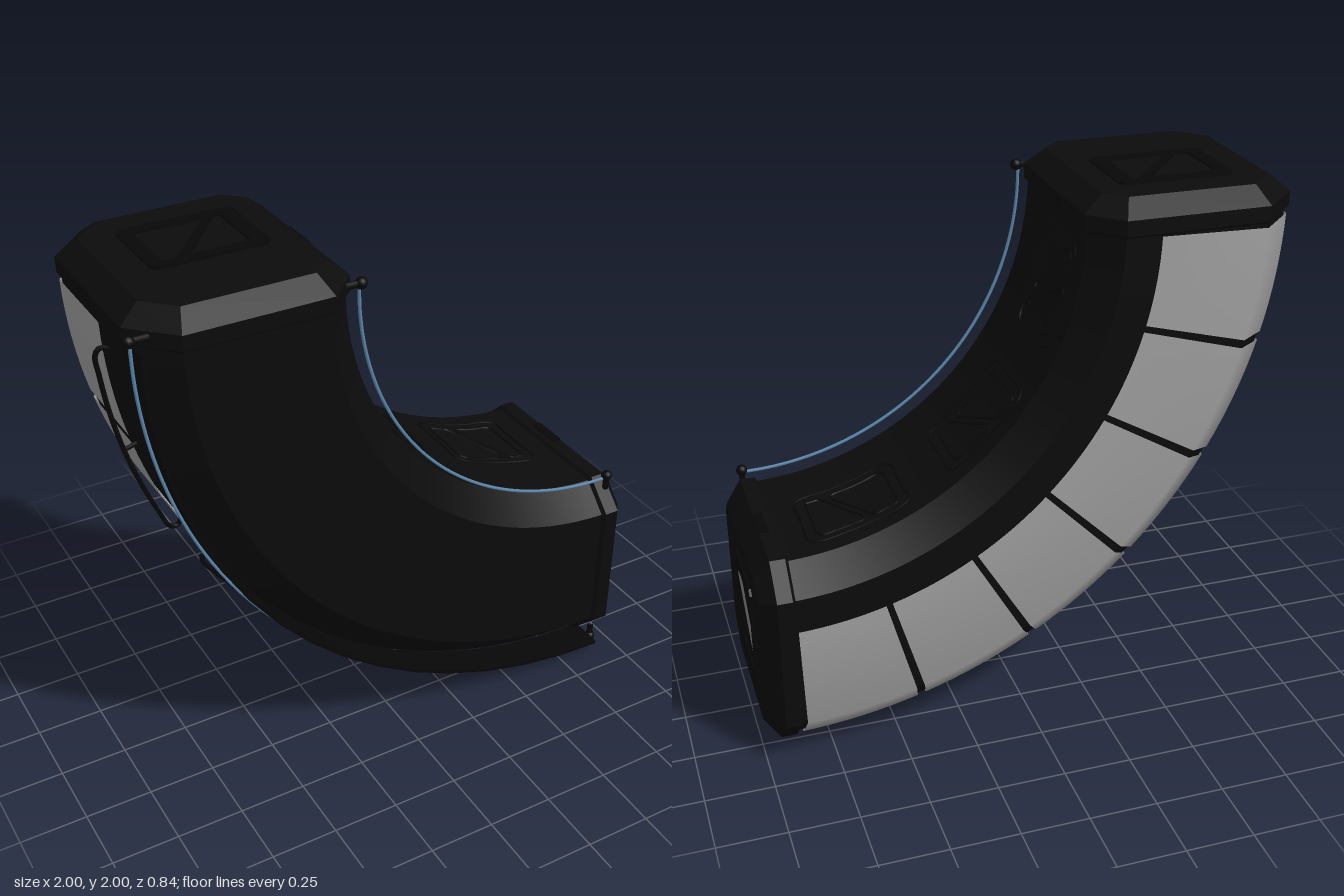
import * as THREE from 'three';
import { toCreasedNormals } from 'three/addons/utils/BufferGeometryUtils.js';

const CX = 0.9, CY = 1.9; // centre of the quarter bend
const rad = THREE.MathUtils.degToRad;

const mat = (name, color, side = THREE.FrontSide) => {
  const m = new THREE.MeshStandardMaterial({ color, side });
  m.name = name;
  return m;
};

// Point on the bend: angle 0 at the upper end, 90 at the lower end
const polar = (deg, r, z) =>
  new THREE.Vector3(CX - r * Math.cos(rad(deg)), CY - r * Math.sin(rad(deg)), z);

// Octagonal cross-section (radius, z), counter-clockwise, inset by d
function section(d) {
  const r0 = 1.09 + d, r1 = 1.86 - d, z = 0.42 - d;
  const ci = 0.11 - 0.586 * d, co = 0.14 - 0.586 * d;
  return [
    [r1, co - z], [r1, z - co], [r1 - co, z], [r0 + ci, z],
    [r0, z - ci], [r0, ci - z], [r0 + ci, -z], [r1 - co, -z],
  ].map(([a, b]) => new THREE.Vector2(a, b));
}

// Sweep a (radius, z) profile round the bend between two angles
function sweep(profile, a0, a1, segments) {
  const g = new THREE.LatheGeometry(profile, segments, rad(a0 - 90), rad(a1 - a0));
  return g.rotateX(Math.PI / 2).translate(CX, CY, 0);
}

export function createModel() {
  const model = new THREE.Group();
  model.name = 'curvedCasing';
  const black = mat('casingBlack', 0x0b0b0b);
  const trim = mat('trimBlack', 0x070707);
  const grey = mat('panelGrey', 0xa0a0a0, THREE.DoubleSide);
  const blue = mat('cableBlue', 0x5b86ab);

  const add = (name, geometry, material, parent = model) => {
    const m = new THREE.Mesh(geometry, material);
    m.name = name;
    parent.add(m);
    return m;
  };
  const tube = (name, points, radius, material, segments = 48, closed = false) =>
    add(name, new THREE.TubeGeometry(
      new THREE.CatmullRomCurve3(points, closed, 'centripetal'), segments, radius, 6, closed), material);
  const arc = (a0, a1, r, z, n = 16) =>
    Array.from({ length: n + 1 }, (_, i) => polar(a0 + (a1 - a0) * i / n, r, z));

  // Main bent casing
  const ring = section(0.014);
  add('casing', toCreasedNormals(sweep([...ring, ring[0]], 0, 90, 48), 0.4), black);

  // Six grey panels wrapping the back, the bevel and part of the outside
  const s = section(0.006);
  const wrap = [new THREE.Vector2(1.33, s[7].y), s[7], s[0], new THREE.Vector2(s[0].x, 0.07)];
  for (let i = 0; i < 6; i++) {
    const a = 1 + i * 88 / 6;
    add('greyPanel', sweep(wrap, a + 0.5, a + 88 / 6 - 0.5, 8), grey);
  }

  // Guard strip along the outer front corner
  const strip = [[1.842, 0.285], [1.855, 0.285], [1.855, 0.414], [1.842, 0.414], [1.842, 0.285]]
    .map(([r, z]) => new THREE.Vector2(r, z));
  add('guardStrip', toCreasedNormals(sweep(strip, 0, 90, 16), 0.4), trim);

  // Blue cables with ball ends
  for (const [r, ballR, inward] of [[1.08, 1.072, 1.13], [1.861, 1.865, 1.8]]) {
    tube('cable', arc(0, 90, r, 0.35, 24), 0.006, blue, 64);
    for (const end of [0, 1]) {
      const place = (q) => end
        ? new THREE.Vector3(CX + 0.018, CY - q, 0.35)
        : new THREE.Vector3(CX - q, CY + 0.018, 0.35);
      add('cableBall', new THREE.SphereGeometry(0.021, 14, 10), trim).position.copy(place(ballR));
      tube('cableBracket', [place(ballR), place(inward)], 0.012, trim, 2);
    }
  }

  // Three handrails on the outside, each with a middle post
  for (const mid of [15.5, 45, 74.5]) {
    const a = mid - 12, b = mid + 12;
    tube('handrail', [
      polar(a + 1, 1.83, 0.11), polar(a + 0.3, 1.85, 0.11), polar(a, 1.875, 0.11),
      ...arc(a + 0.6, b - 0.6, 1.894, 0.11, 10),
      polar(b, 1.875, 0.11), polar(b - 0.3, 1.85, 0.11), polar(b - 1, 1.83, 0.11),
    ], 0.009, trim, 60);
    tube('handrailPost', [polar(mid, 1.83, 0.11), polar(mid, 1.894, 0.11)], 0.008, trim, 2);
  }

  // Raised outlines on the inside of the bend: a frame and two slanted cells
  const outline = (corners) => {
    const pts = [];
    corners.forEach(([a, z], i) => {
      const [a2, z2] = corners[(i + 1) % corners.length];
      for (const t of [0.08, 0.36, 0.64, 0.92]) {
        pts.push(polar(a + (a2 - a) * t, 1.103, z + (z2 - z) * t));
      }
    });
    tube('insideFrame', pts, 0.005, trim, 64, true);
  };
  for (const mid of [15.5, 44.5, 73.5]) {
    outline([[mid - 10, 0.09], [mid + 10, 0.09], [mid + 10, -0.23], [mid - 10, -0.23]]);
    outline([[mid - 8, 0.05], [mid + 3.5, 0.05], [mid - 3, -0.19], [mid - 8, -0.19]]);
    outline([[mid + 5, 0.05], [mid + 8, 0.05], [mid + 8, -0.19], [mid - 1.5, -0.19]]);
  }

  // Bevelled end caps, each with a framed plate and a latch.
  // Local axes: x = radius, y = across, z = outward
  const makeCap = (name, outward, across, radial, side) => {
    const cap = new THREE.Group();
    cap.name = name;
    const d = 0.072;
    const body = new THREE.ExtrudeGeometry(new THREE.Shape(section(d)), {
      depth: 0.055, bevelEnabled: true, bevelThickness: 0.058, bevelSize: d, bevelSegments: 1,
    });
    add('capBody', body, black, cap).position.z = -0.022;

    const c = -0.07 * side;
    const plate = new THREE.Shape([
      [1.27, c - 0.16], [1.65, c - 0.16], [1.67, c - 0.14], [1.67, c + 0.14],
      [1.65, c + 0.16], [1.27, c + 0.16], [1.25, c + 0.14], [1.25, c - 0.14],
    ].map(([a, b]) => new THREE.Vector2(a, b)));
    for (const hole of [
      [[1.31, c - 0.12], [1.33, c - 0.12], [1.53, c + 0.12], [1.31, c + 0.12]],
      [[1.37, c - 0.12], [1.62, c - 0.12], [1.62, c + 0.12], [1.57, c + 0.12]],
    ]) plate.holes.push(new THREE.Path(hole.map(([a, b]) => new THREE.Vector2(a, b))));
    add('capPlate', new THREE.ExtrudeGeometry(plate, { depth: 0.009, bevelEnabled: false }), trim, cap)
      .position.z = 0.091;

    add('capLatch', new THREE.BoxGeometry(0.02, 0.14, 0.035), trim, cap)
      .position.set(1.094, -0.04 * side, 0.016);

    cap.applyMatrix4(new THREE.Matrix4().makeBasis(radial, across, outward).setPosition(CX, CY, 0));
    model.add(cap);
  };
  const v = (x, y, z) => new THREE.Vector3(x, y, z);
  makeCap('upperCap', v(0, 1, 0), v(0, 0, 1), v(-1, 0, 0), 1);
  makeCap('lowerCap', v(1, 0, 0), v(0, 0, -1), v(0, -1, 0), -1);

  return model;
}
